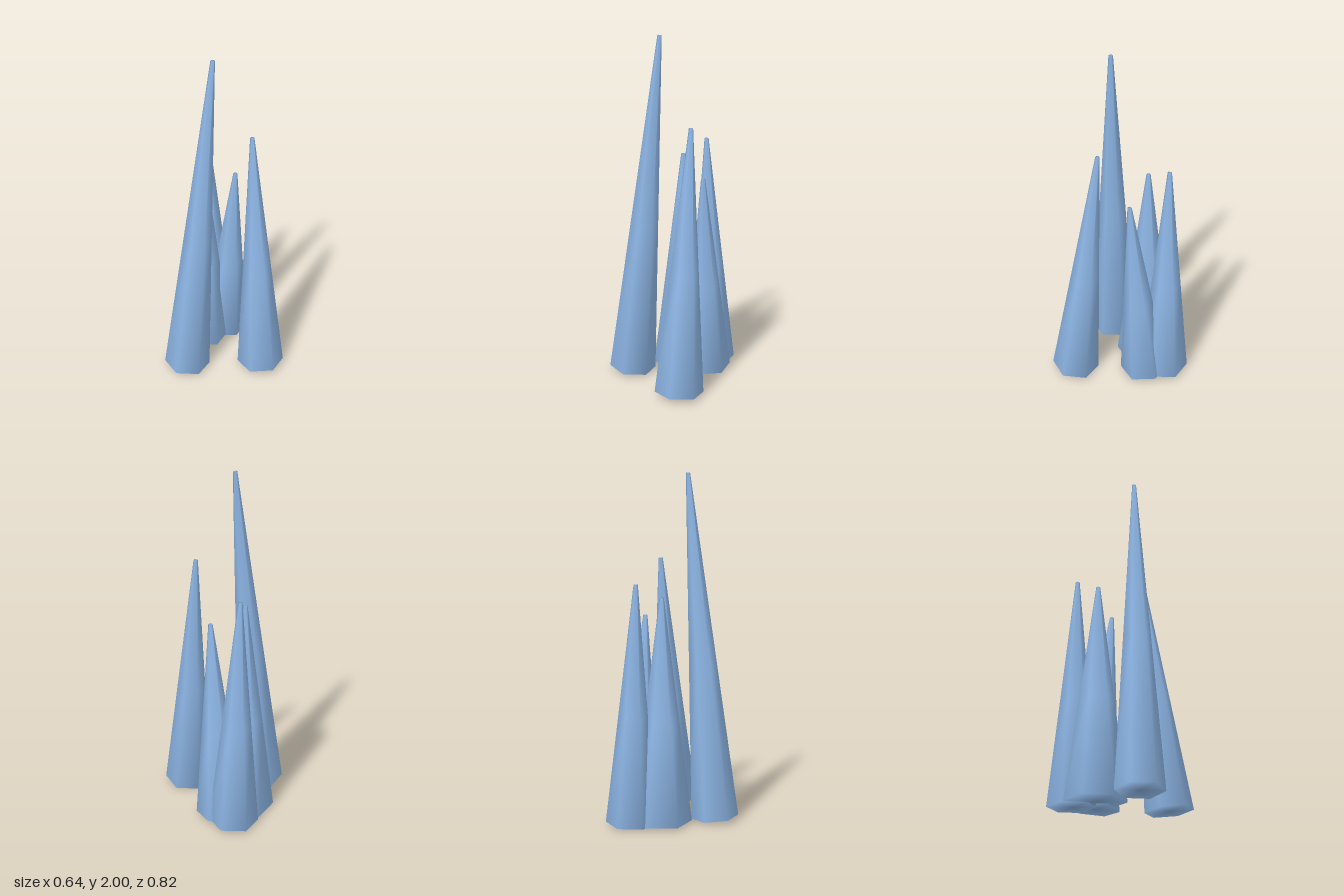
import * as THREE from 'three';
import { mergeVertices } from 'three/addons/utils/BufferGeometryUtils.js';

const TIP_RADIUS = 0.012;
const RING = 0.45; // height of the middle ring as a share of the length

// Tapered six-sided spike with soft shading across its shared corners
function spikeGeometry(radius, length) {
  const geometry = new THREE.CylinderGeometry(TIP_RADIUS, radius, length, 6, 2);
  geometry.translate(0, length / 2, 0);
  const pos = geometry.attributes.position;
  const ringScale = THREE.MathUtils.lerp(radius, TIP_RADIUS, RING) / ((radius + TIP_RADIUS) / 2);
  for (let i = 0; i < pos.count; i++) {
    if (Math.abs(pos.getY(i) - length / 2) < 1e-4) {
      pos.setXYZ(i, pos.getX(i) * ringScale, length * RING, pos.getZ(i) * ringScale);
    }
  }
  geometry.deleteAttribute('uv');
  geometry.deleteAttribute('normal');
  const merged = mergeVertices(geometry, 1e-4);
  merged.computeVertexNormals();
  return merged;
}

export function createModel() {
  const group = new THREE.Group();
  group.name = 'crystalCluster';
  const material = new THREE.MeshStandardMaterial({ color: 0x8fb8e8 });

  // Base centre, tip centre and base radius of each crystal
  const crystals = [
    ['tallCrystal', [-0.202, 0.019, 0.053], [-0.022, 1.999, 0.053], 0.137],
    ['wideCrystal', [0.035, 0.018, -0.155], [0.033, 1.305, -0.155], 0.173],
    ['backCrystal', [0.175, 0.018, -0.268], [0.132, 1.383, -0.27], 0.144],
    ['shortCrystal', [0.196, 0.018, -0.149], [0.198, 1.192, -0.055], 0.142],
    ['frontCrystal', [0.193, 0.019, 0.27], [0.193, 1.512, 0.117], 0.14],
  ];
  const up = new THREE.Vector3(0, 1, 0);
  for (const [name, base, tip, radius] of crystals) {
    const start = new THREE.Vector3(...base);
    const axis = new THREE.Vector3(...tip).sub(start);
    const mesh = new THREE.Mesh(spikeGeometry(radius, axis.length()), material);
    mesh.name = name;
    mesh.position.copy(start);
    mesh.quaternion.setFromUnitVectors(up, axis.normalize());
    group.add(mesh);
  }
  return group;
}
